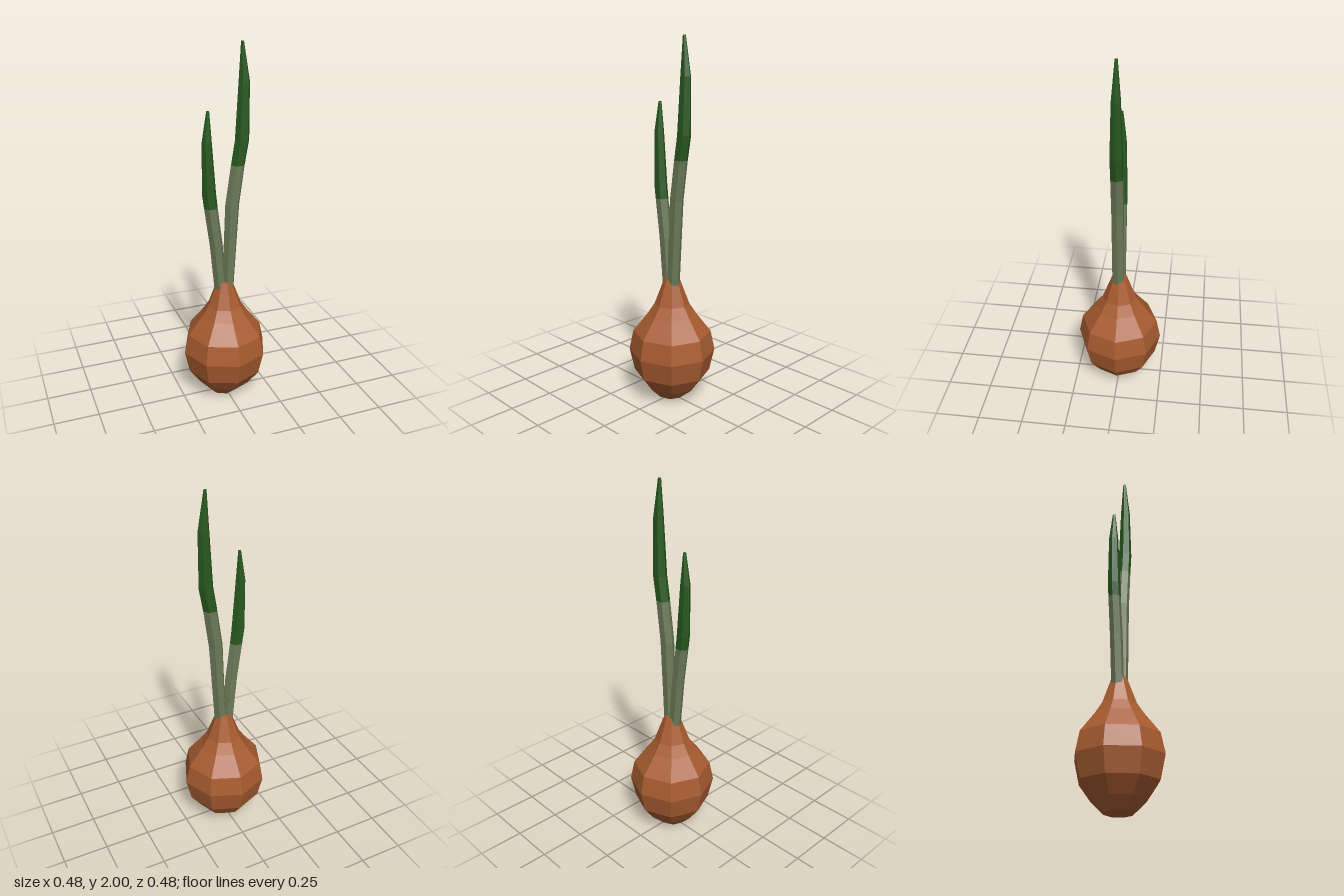
import * as THREE from 'three';

const SIDES = 6;

// Skin a stack of six-sided rings [x, y, z, radiusX, radiusZ], ordered upward, with end caps
function ringTube(rings) {
  const pos = [], index = [];
  for (const [x, y, z, rx, rz] of rings) {
    for (let i = 0; i < SIDES; i++) {
      const a = (i / SIDES) * Math.PI * 2;
      pos.push(x + Math.cos(a) * rx, y, z + Math.sin(a) * rz);
    }
  }
  for (let r = 0; r < rings.length - 1; r++) {
    for (let i = 0; i < SIDES; i++) {
      const a = r * SIDES + i, b = r * SIDES + (i + 1) % SIDES;
      index.push(a, a + SIDES, b, b, a + SIDES, b + SIDES);
    }
  }
  const top = (rings.length - 1) * SIDES;
  for (let i = 1; i < SIDES - 1; i++) {
    index.push(0, i, i + 1, top, top + i + 1, top + i);
  }
  const geo = new THREE.BufferGeometry();
  geo.setAttribute('position', new THREE.Float32BufferAttribute(pos, 3));
  geo.setIndex(index);
  geo.computeVertexNormals();
  return geo;
}

function material(name, color) {
  const m = new THREE.MeshStandardMaterial({ color, flatShading: true });
  m.name = name;
  return m;
}

export function createModel() {
  const model = new THREE.Group();
  model.name = 'sproutingOnion';
  const skin = material('onionSkin', 0xa85c30);
  const pale = material('paleStem', 0x6b7a57);
  const green = material('leafGreen', 0x28581f);

  const add = (name, geo, mat, parent = model) => {
    const mesh = new THREE.Mesh(geo, mat);
    mesh.name = name;
    parent.add(mesh);
  };

  // Eight-sided bulb, closed at both ends
  const profile = [
    [0, 0.01], [0.077, 0.01], [0.15, 0.075], [0.212, 0.16], [0.24, 0.285],
    [0.217, 0.395], [0.135, 0.5], [0.096, 0.56], [0.042, 0.705], [0, 0.705],
  ].map(([r, y]) => new THREE.Vector2(r, y));
  const bulb = new THREE.LatheGeometry(profile, 8);
  // Tilt the root end slightly
  const p = bulb.attributes.position;
  for (let i = 0; i < p.count; i++) {
    if (p.getY(i) < 0.02) {
      const x = p.getX(i);
      p.setXYZ(i, x - 0.015, 0.006 - x * 0.07, p.getZ(i));
    }
  }
  bulb.computeVertexNormals();
  add('bulb', bulb, skin);

  // Leaves: pale stem below, green blade above, sharing the ring where they meet
  const leaves = [
    {
      name: 'leftLeaf',
      stem: [[0.018, 0.67, 0.006, 0.034, 0.036], [0.042, 1.15, 0.006, 0.04, 0.036], [0.073, 1.37, 0.006, 0.039, 0.036]],
      blade: [[0.095, 1.5, 0.006, 0.04, 0.036], [0.104, 1.8, 0.006, 0.031, 0.026], [0.093, 2, 0.005, 0.008, 0.008]],
    },
    {
      name: 'rightLeaf',
      stem: [[-0.025, 0.66, 0, 0.034, 0.034], [-0.048, 0.93, 0, 0.037, 0.034], [-0.077, 1.145, 0, 0.038, 0.034]],
      blade: [[-0.086, 1.22, 0, 0.039, 0.034], [-0.097, 1.5, 0, 0.028, 0.026], [-0.09, 1.665, 0, 0.008, 0.008]],
    },
  ];
  for (const { name, stem, blade } of leaves) {
    const leaf = new THREE.Group();
    leaf.name = name;
    add('stem', ringTube(stem), pale, leaf);
    add('blade', ringTube([stem[stem.length - 1], ...blade]), green, leaf);
    model.add(leaf);
  }
  return model;
}
